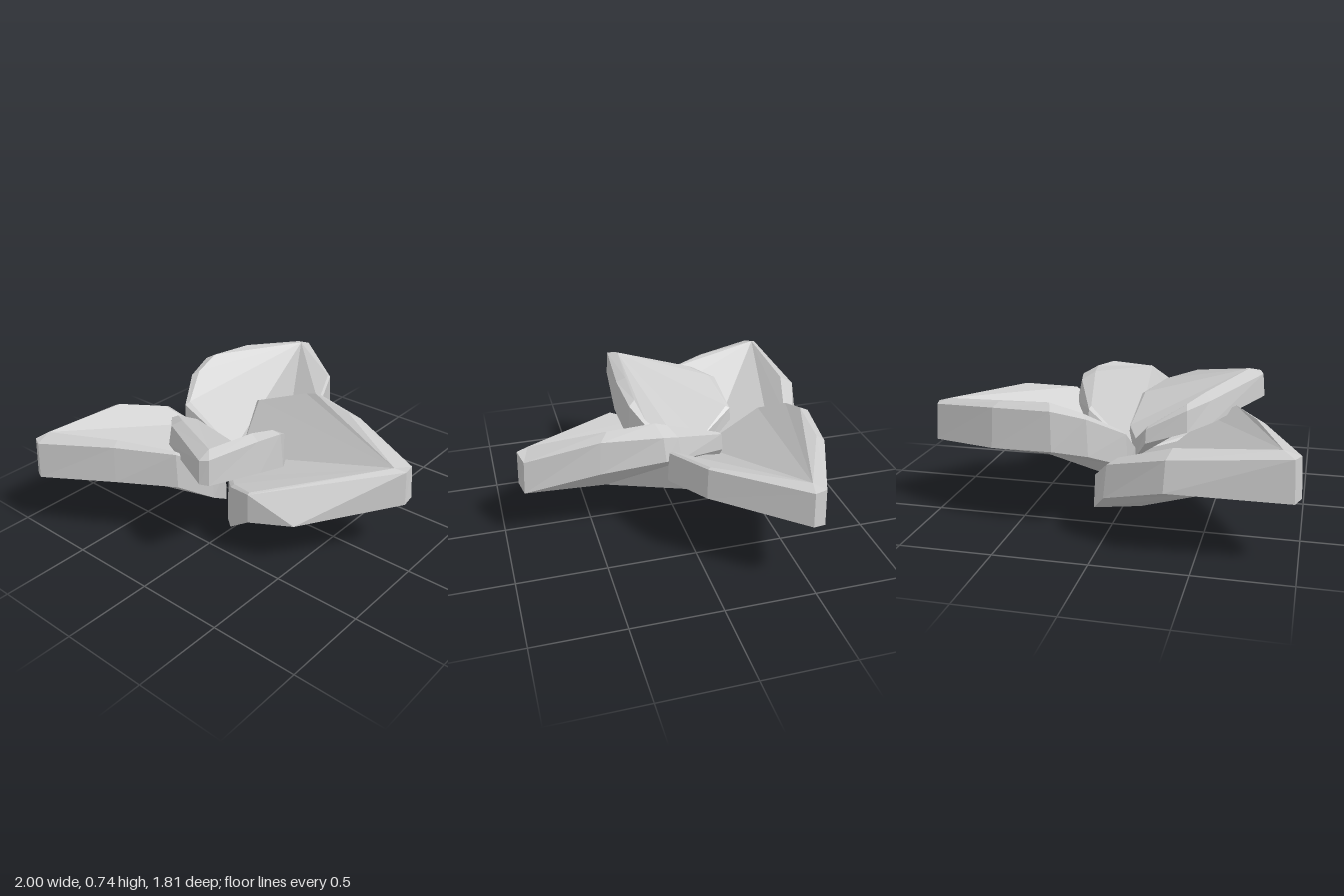
import * as THREE from 'three';

// Each leaf outline runs counter-clockwise seen from above, starting at its base.
// Row: [x, z, underside height, top height, bevel width]; rows 4 and 5 are the blunt tip.
// tip: where the top faces meet at the tip; keel: middle of the underside
const LEAVES = {
  frontLeaf: {
    tip: [0.05, 0.56, 0.83],
    keel: [0, 0.21, 0.4],
    rows: [
      [-0.04, -0.17, 0.05, 0.3, 0], [-0.34, 0, 0.08, 0.36, 0.03], [-0.43, 0.1, 0.12, 0.39, 0.03], [-0.48, 0.27, 0.25, 0.43, 0.02],
      [0.07, 0.9, 0.35, 0.56, 0.03], [0.17, 0.88, 0.34, 0.55, 0.05],
      [0.28, 0.48, 0.46, 0.68, 0.09], [0.36, 0.13, 0.53, 0.71, 0.12], [0.34, 0.04, 0.52, 0.69, 0.11], [0.2, -0.24, 0.46, 0.57, 0.03],
    ],
    // outward bulge of the lower edge between the left shoulder and the tip
    bulge: [-0.4, 0.29, 0.52],
  },
  leftLeaf: {
    tip: [0.92, 0.64, -0.46],
    keel: [0.42, 0.3, -0.3],
    rows: [
      [-0.06, -0.2, 0.12, 0.34, 0], [0.13, 0.06, 0.27, 0.43, 0.02], [0.36, 0.12, 0.41, 0.59, 0.02], [0.64, -0.01, 0.45, 0.63, 0.02],
      [1, -0.45, 0.43, 0.64, 0.05], [0.98, -0.52, 0.42, 0.64, 0.05],
      [0.6, -0.68, 0.45, 0.69, 0.06], [0.26, -0.73, 0.47, 0.71, 0.08], [0.08, -0.68, 0.44, 0.66, 0.06], [-0.1, -0.56, 0.36, 0.55, 0.04],
    ],
  },
  backLeaf: {
    tip: [-0.9, 0.6, -0.81],
    keel: [-0.48, 0.2, -0.48],
    rows: [
      [-0.1, -0.23, 0, 0.22, 0], [0.07, -0.62, 0.14, 0.34, 0.04], [-0.02, -0.77, 0.26, 0.47, 0.08], [-0.35, -0.91, 0.37, 0.57, 0.1],
      [-0.97, -0.86, 0.35, 0.59, 0.05], [-1, -0.8, 0.36, 0.59, 0.05],
      [-0.8, -0.4, 0.39, 0.62, 0.06], [-0.62, -0.1, 0.39, 0.6, 0.03], [-0.45, 0, 0.28, 0.5, 0.03],
    ],
  },
  upperLeaf: {
    tip: [-0.65, 0.74, 0.17],
    keel: [-0.38, 0.45, 0],
    rows: [
      [-0.06, -0.19, 0.28, 0.39, 0], [-0.16, -0.41, 0.44, 0.53, 0.03], [-0.38, -0.39, 0.51, 0.65, 0.06], [-0.5, -0.28, 0.54, 0.69, 0.08],
      [-0.74, 0.18, 0.58, 0.73, 0.05], [-0.72, 0.23, 0.58, 0.74, 0.05],
      [-0.36, 0.26, 0.5, 0.71, 0.07], [-0.13, 0.23, 0.42, 0.65, 0.06], [-0.02, 0.16, 0.37, 0.57, 0.03], [0.01, -0.04, 0.31, 0.42, 0.01],
    ],
  },
};

// Thick folded leaf: underside fan around the keel, side wall, bevel and two top faces
function leafGeometry({ tip, keel, rows, bulge }) {
  const n = rows.length;
  const cx = rows.reduce((s, r) => s + r[0], 0) / n;
  const cz = rows.reduce((s, r) => s + r[1], 0) / n;
  // t = 0 is the outer edge of the bevel, t = 1 the inner
  const ring = (t, height) => rows.map((r) => {
    const k = (r[4] * t) / Math.hypot(cx - r[0], cz - r[1]);
    return [r[0] + (cx - r[0]) * k, height(r), r[1] + (cz - r[1]) * k];
  });
  const lower = ring(0, (r) => r[2]);
  const upper = ring(0.25, (r) => r[3] - r[4] * 0.4);
  const inner = ring(1, (r) => r[3]);
  inner[4] = inner[5] = tip;

  const pos = [];
  const tri = (a, b, c) => pos.push(...a, ...b, ...c);
  for (let i = 0; i < n; i++) {
    const j = (i + 1) % n;
    if (bulge && i === 3) {
      tri(lower[i], bulge, upper[i]);
      tri(bulge, upper[j], upper[i]);
      tri(bulge, lower[j], upper[j]);
      tri(keel, bulge, lower[i]);
      tri(keel, lower[j], bulge);
    } else {
      tri(lower[i], lower[j], upper[j]);
      tri(lower[i], upper[j], upper[i]);
      tri(keel, lower[j], lower[i]);
    }
    tri(upper[i], upper[j], inner[j]);
    if (i !== 4) tri(upper[i], inner[j], inner[i]);
    if (i < 3 || i > 5) tri(tip, inner[i], inner[j]);
  }
  const geo = new THREE.BufferGeometry();
  geo.setAttribute('position', new THREE.Float32BufferAttribute(pos, 3));
  geo.computeVertexNormals();
  return geo;
}

export function createModel() {
  const group = new THREE.Group();
  group.name = 'leafCluster';
  const material = new THREE.MeshStandardMaterial({ color: 0xcccccc, flatShading: true });
  for (const [name, shape] of Object.entries(LEAVES)) {
    const leaf = new THREE.Mesh(leafGeometry(shape), material);
    leaf.name = name;
    group.add(leaf);
  }
  return group;
}
